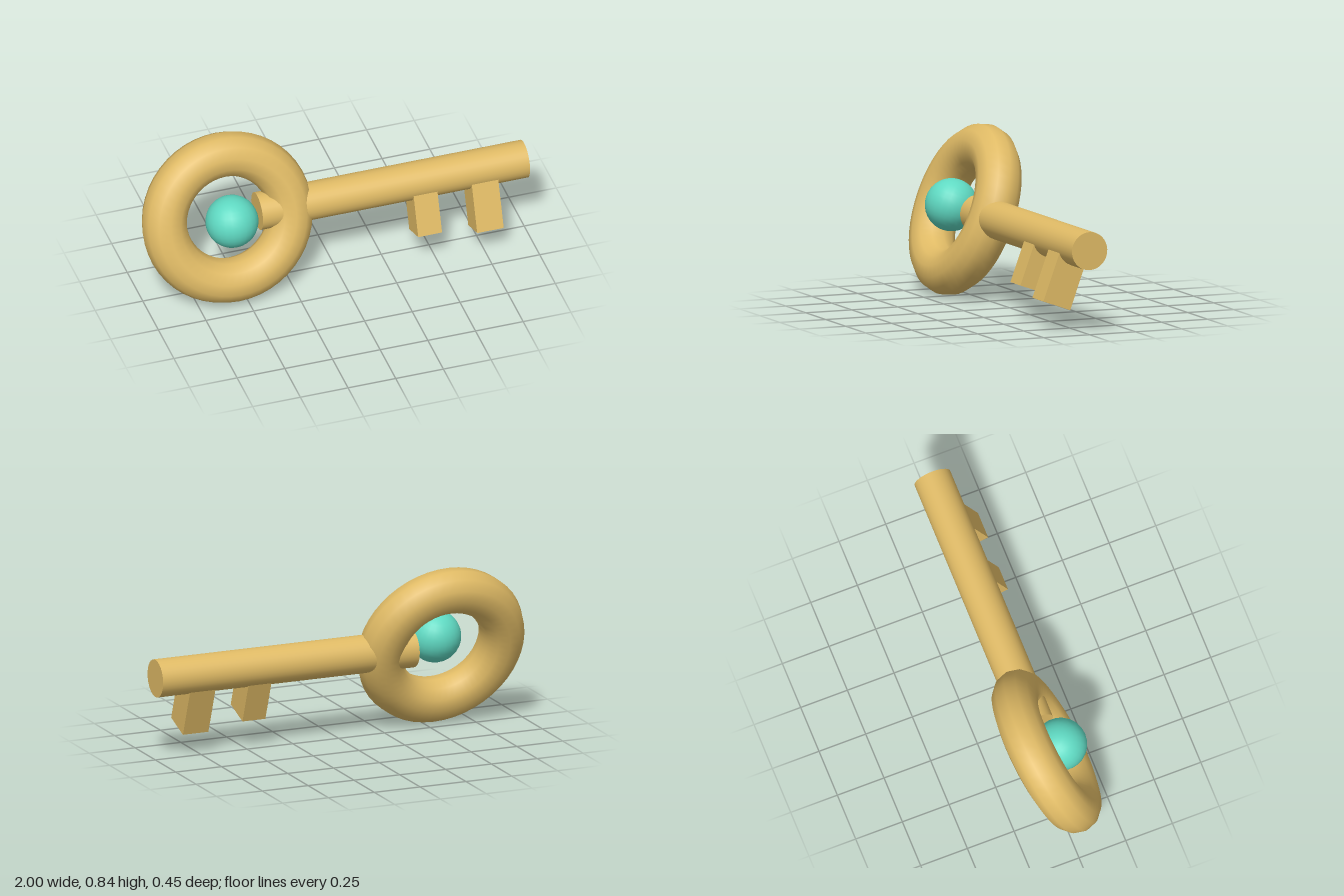
import * as THREE from 'three';

export function createModel() {
  const gold = new THREE.MeshStandardMaterial({ color: 0xdfba65 });
  gold.name = 'gold';
  const teal = new THREE.MeshStandardMaterial({ color: 0x5fd9c2 });
  teal.name = 'teal';

  // The key lies along x and leans back about its shaft
  const key = new THREE.Group();
  key.name = 'key';
  key.position.y = 0.427;
  key.rotation.x = -0.35;

  const add = (name, geometry, material, x, y = 0, z = 0) => {
    const mesh = new THREE.Mesh(geometry, material);
    mesh.name = name;
    mesh.position.set(x, y, z);
    key.add(mesh);
    return mesh;
  };

  // Ring handle with a gem held forward of its middle
  const bowX = -0.557;
  add('bow', new THREE.TorusGeometry(0.328, 0.115, 12, 48), gold, bowX);
  add('gem', new THREE.SphereGeometry(0.133, 24, 16), teal, bowX, 0, 0.08);

  // Shaft, running through the ring's inner edge
  const shaft = add('shaft', new THREE.CylinderGeometry(0.096, 0.096, 1.4, 32), gold, 0.3);
  shaft.rotation.z = -Math.PI / 2;

  // Teeth: centre x, width, lowest point; tops are buried in the shaft
  const toothTop = -0.03;
  for (const [name, x, width, bottom] of [
    ['innerTooth', 0.453, 0.125, -0.272],
    ['outerTooth', 0.765, 0.139, -0.311],
  ]) {
    const geometry = new THREE.BoxGeometry(width, toothTop - bottom, 0.154);
    add(name, geometry, gold, x, (toothTop + bottom) / 2);
  }

  const model = new THREE.Group();
  model.name = 'keyModel';
  model.add(key);
  return model;
}
